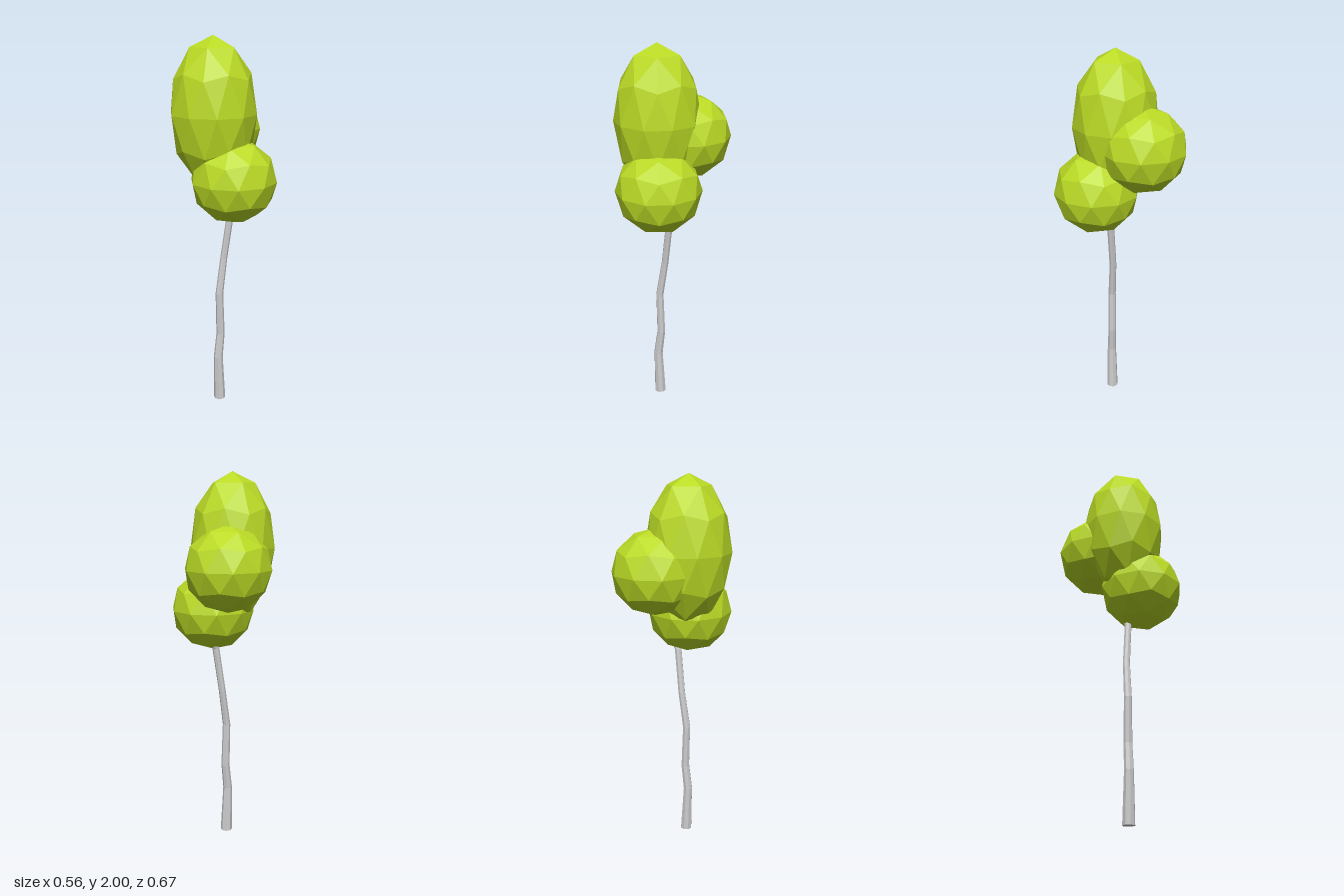
import * as THREE from 'three';

const leafMaterial = new THREE.MeshStandardMaterial({ color: 0xbada25, flatShading: true });
const barkMaterial = new THREE.MeshStandardMaterial({ color: 0xcccccc, flatShading: true });

// Faceted foliage ball with one vertex pointing straight up
function foliage(name, radius, halfHeight, x, y, z) {
  const geometry = new THREE.IcosahedronGeometry(1, 1);
  geometry.rotateZ(-Math.atan(2 / (1 + Math.sqrt(5))));
  geometry.scale(radius, halfHeight, radius);
  const mesh = new THREE.Mesh(geometry, leafMaterial);
  mesh.name = name;
  mesh.position.set(x, y, z);
  return mesh;
}

// Crooked tapering trunk: a cylinder whose rings follow [x, y, z, radius]
function trunk() {
  const rings = [
    [-0.05, 0, 0.027, 0.032],
    [-0.06, 0.26, 0.027, 0.025],
    [-0.043, 0.4, 0.027, 0.023],
    [-0.05, 0.64, 0.026, 0.021],
    [-0.019, 0.84, 0.027, 0.019],
    [0.011, 1.08, 0.045, 0.019],
    [0.045, 1.15, 0.05, 0.018],
  ];
  const spans = rings.length - 1;
  const geometry = new THREE.CylinderGeometry(1, 1, spans, 8, spans);
  const pos = geometry.attributes.position;
  for (let i = 0; i < pos.count; i++) {
    const [x, y, z, r] = rings[Math.round(pos.getY(i) + spans / 2)];
    pos.setXYZ(i, x + pos.getX(i) * r, y, z + pos.getZ(i) * r);
  }
  geometry.computeVertexNormals();
  const mesh = new THREE.Mesh(geometry, barkMaterial);
  mesh.name = 'trunk';
  return mesh;
}

export function createModel() {
  const tree = new THREE.Group();
  tree.name = 'tree';
  tree.add(
    trunk(),
    foliage('crownFoliage', 0.224, 0.383, -0.065, 1.617, 0),
    foliage('backFoliage', 0.224, 0.221, 0.066, 1.52, -0.112),
    foliage('frontFoliage', 0.224, 0.221, -0.026, 1.283, 0.111),
  );
  return tree;
}
